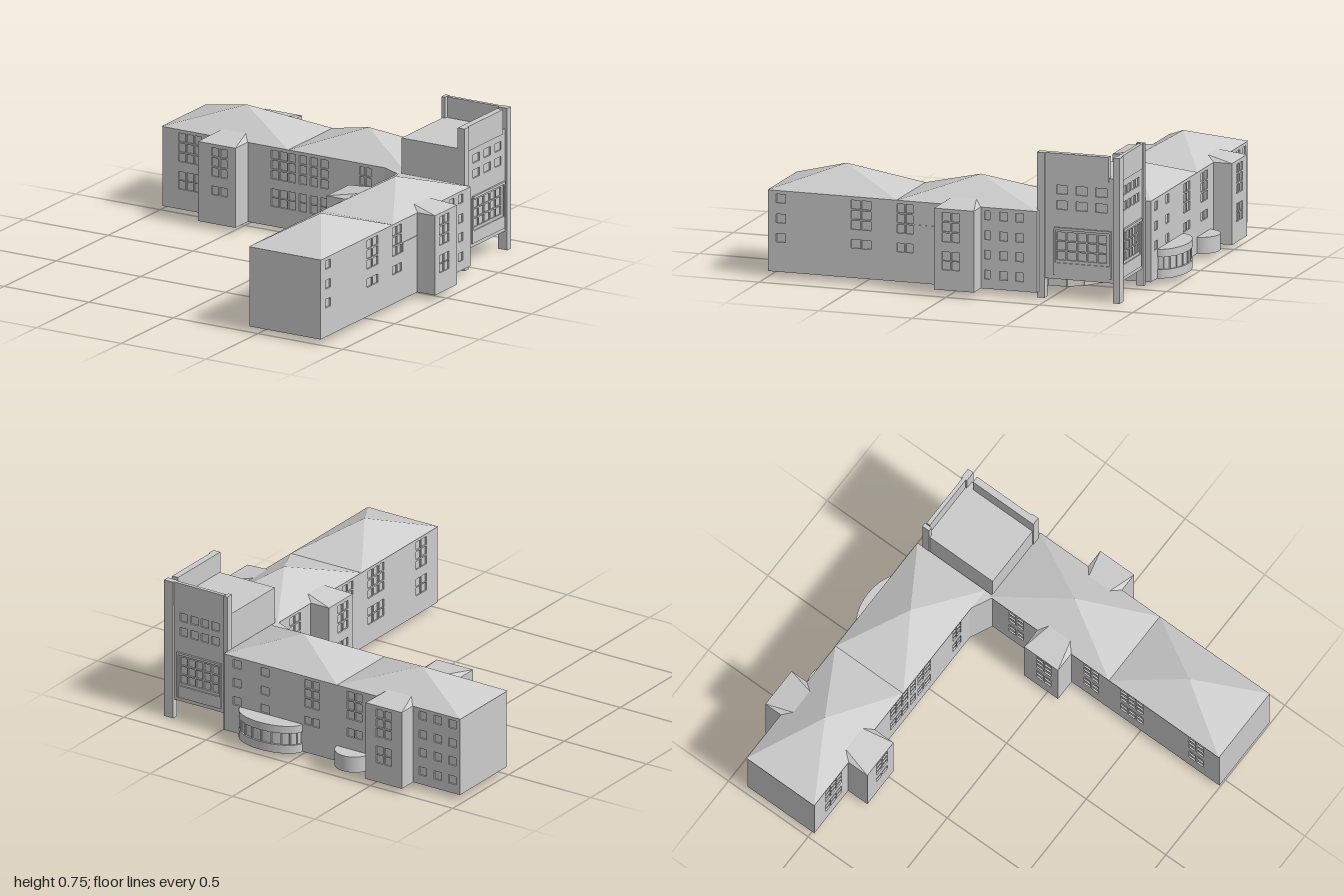
import * as THREE from 'three';
import { ConvexGeometry } from 'three/addons/geometries/ConvexGeometry.js';

const T = 0.008; // wall panel thickness, which is also the window recess
const FLOOR = 0.03, EAVES = 0.45;
const material = new THREE.MeshStandardMaterial({ color: 0xcccccc, flatShading: true });
const UP = [0.28, 0.333, 0.386], LOW = [0.135, 0.183], FOUR = [0.08, 0.183, 0.283, 0.386], THREE_ROWS = [0.183, 0.283, 0.386];

function mesh(parent, name, geometry) {
  const m = new THREE.Mesh(geometry, material);
  m.name = name;
  parent.add(m);
  return m;
}

function box(parent, name, x0, x1, y0, y1, z0, z1) {
  const m = mesh(parent, name, new THREE.BoxGeometry(x1 - x0, y1 - y0, z1 - z0));
  m.position.set((x0 + x1) / 2, (y0 + y1) / 2, (z0 + z1) / 2);
  return m;
}

// Grid of windows: column centres along the wall, row bottoms, pane size
function grid(columns, rows, w = 0.042, h = 0.045) {
  return columns.flatMap(c => rows.map(y => [c, y, w, h]));
}

function rect(target, x0, x1, y0, y1) {
  target.moveTo(x0, y0);
  target.lineTo(x1, y0);
  target.lineTo(x1, y1);
  target.lineTo(x0, y1);
  target.closePath();
  return target;
}

const SIDES = {
  front: { angle: 0, sign: 1 },
  back: { angle: Math.PI, sign: -1 },
  right: { angle: Math.PI / 2, sign: -1 },
  left: { angle: -Math.PI / 2, sign: 1 },
};

// Wall panel with window holes; a and b are world coordinates along the wall
function wall(parent, side, plane, a, b, y0, y1, windows = []) {
  const { angle, sign } = SIDES[side];
  const shape = rect(new THREE.Shape(), Math.min(a * sign, b * sign), Math.max(a * sign, b * sign), y0, y1);
  for (const [c, y, w, h] of windows) {
    shape.holes.push(rect(new THREE.Path(), c * sign - w / 2, c * sign + w / 2, y, y + h));
  }
  const geometry = new THREE.ExtrudeGeometry(shape, { depth: T, bevelEnabled: false }).translate(0, 0, -T);
  const m = mesh(parent, side + 'Wall', geometry);
  m.rotation.y = angle;
  m.position[side === 'front' || side === 'back' ? 'z' : 'x'] = plane;
}

// Solid block with a windowed panel on every side
function block(parent, name, x0, x1, z0, z1, windows = {}, y0 = FLOOR, y1 = EAVES) {
  const g = new THREE.Group();
  g.name = name;
  parent.add(g);
  box(g, 'core', x0 + T, x1 - T, y0, y1, z0 + T, z1 - T);
  wall(g, 'front', z1, x0, x1, y0, y1, windows.front);
  wall(g, 'back', z0, x0, x1, y0, y1, windows.back);
  wall(g, 'right', x1, z0, z1, y0, y1, windows.right);
  wall(g, 'left', x0, z0, z1, y0, y1, windows.left);
  return g;
}

function pyramidRoof(parent, x0, x1, z0, z1) {
  const geometry = new THREE.ConeGeometry(Math.SQRT1_2, 1, 4).rotateY(Math.PI / 4);
  const m = mesh(parent, 'hipRoof', geometry);
  m.scale.set(x1 - x0, 0.12, z1 - z0);
  m.position.set((x0 + x1) / 2, EAVES + 0.06, (z0 + z1) / 2);
}

// Shallow hip that runs back from a projecting bay into the main roof
function bayRoof(parent, x, z, side, depth, w) {
  const pts = [];
  for (const s of [-1, 1]) {
    pts.push(new THREE.Vector3(s * w / 2, EAVES, depth), new THREE.Vector3(s * w / 2, EAVES, 0),
      new THREE.Vector3(s * (w / 2 - 0.04), 0.477, -0.045));
  }
  const m = mesh(parent, 'bayRoof', new ConvexGeometry(pts));
  m.position.set(x, 0, z);
  m.rotation.y = SIDES[side].angle;
}

// Half-round drum standing against the back wall
function halfDrum(parent, name, x, rx, rz, y0, y1) {
  const geometry = new THREE.CylinderGeometry(1, 1, y1 - y0, 28, 1, false, Math.PI / 2, Math.PI);
  const m = mesh(parent, name, geometry);
  m.scale.set(rx, 1, rz);
  m.position.set(x, (y0 + y1) / 2, -0.895);
}

function prism(parent, name, points, y0, y1) {
  const shape = new THREE.Shape(points.map(([x, z]) => new THREE.Vector2(x, -z)));
  const geometry = new THREE.ExtrudeGeometry(shape, { depth: y1 - y0, bevelEnabled: false });
  geometry.rotateX(-Math.PI / 2).translate(0, y0, 0);
  return mesh(parent, name, geometry);
}

export function createModel() {
  const model = new THREE.Group();
  model.name = 'building';

  // Wing running along x
  block(model, 'rearWing', -0.975, 0.455, -0.9, -0.48, {
    front: [
      ...grid([-0.86, -0.812, -0.765], [...LOW, ...UP]),
      ...grid([-0.31, -0.26, -0.21, -0.145, -0.08, -0.02], [...LOW, ...UP], 0.044),
      ...grid([0.205, 0.242], [...LOW, ...UP], 0.03),
    ],
    back: [
      ...grid([-0.93, -0.84, -0.75], FOUR, 0.045),
      ...grid([-0.36, -0.31, -0.1, -0.05], [0.183, ...UP]),
      ...grid([0.21, 0.38], THREE_ROWS, 0.05),
    ],
  });
  pyramidRoof(model, -0.98, -0.23, -0.903, -0.477);
  pyramidRoof(model, -0.23, 0.46, -0.903, -0.477);

  // Wing running along z
  block(model, 'sideWing', 0.45, 0.87, -0.44, 1, {
    right: [
      ...grid([0.93], THREE_ROWS, 0.05),
      ...grid([0.53, 0.473], [0.183, ...UP], 0.05),
      ...grid([0.288, 0.242], [0.183, ...UP], 0.04),
      ...grid([-0.175], FOUR, 0.03),
      ...grid([-0.262, -0.347], FOUR, 0.043),
    ],
    left: [
      ...grid([0.17, 0.22, 0.4, 0.45, 0.5, 0.83, 0.88], [...LOW, ...UP]),
      ...grid([-0.3, -0.25], [...LOW, ...UP]),
    ],
  });
  pyramidRoof(model, 0.445, 0.873, -0.44, 0.31);
  pyramidRoof(model, 0.445, 0.873, 0.31, 1);
  box(model, 'wallBand', 0.865, 0.873, 0.28, 0.33, 0.08, 0.215);

  // Projecting bays on both faces of each wing
  const bayRows = [...LOW, ...UP];
  block(model, 'frontBay', -0.69, -0.47, -0.5, -0.36, { front: grid([-0.59, -0.54], [0.183, ...UP]) });
  block(model, 'backBay', -0.69, -0.47, -1, -0.88, { back: grid([-0.605, -0.555], bayRows) });
  block(model, 'rightBay', 0.85, 0.975, -0.14, 0.072, { right: grid([0.008, -0.042], bayRows) });
  block(model, 'innerBay', 0.335, 0.47, -0.14, 0.072, { left: grid([0.008, -0.042], bayRows) });
  bayRoof(model, -0.58, -0.48, 'front', 0.12, 0.22);
  bayRoof(model, -0.58, -0.9, 'back', 0.1, 0.22);
  bayRoof(model, 0.87, -0.034, 'right', 0.105, 0.212);
  bayRoof(model, 0.45, -0.034, 'left', 0.115, 0.212);

  // Rounded bays at the back
  halfDrum(model, 'largeRoundBayBase', 0.17, 0.19, 0.105, FLOOR, 0.075);
  halfDrum(model, 'largeRoundBayGlass', 0.17, 0.18, 0.095, 0.075, 0.14);
  halfDrum(model, 'largeRoundBayRoof', 0.17, 0.19, 0.105, 0.14, 0.18);
  for (let i = 1; i < 10; i++) {
    const a = Math.PI * i / 10, x = 0.17 + 0.183 * Math.cos(a), z = -0.895 - 0.098 * Math.sin(a);
    box(model, 'roundBayMullion', x - 0.003, x + 0.003, 0.07, 0.145, z - 0.003, z + 0.003);
  }
  halfDrum(model, 'smallRoundBay', -0.325, 0.098, 0.09, FLOOR, 0.115);

  // Angled infill in the inner corner
  prism(model, 'cornerInfill', [[0.335, -0.48], [0.46, -0.42], [0.46, -0.5], [0.335, -0.5]], FLOOR, EAVES);

  // Corner tower raised on piers
  const xc = [0.54, 0.588, 0.636, 0.684, 0.732], zc = [-0.555, -0.61, -0.665, -0.72, -0.775];
  const lower = [0.2, 0.25, 0.3];
  const tower = block(model, 'tower', 0.465, 0.83, -0.86, -0.435, {
    back: [...grid(xc, lower, 0.04, 0.043), ...grid([0.54, 0.604, 0.668, 0.732], [0.46, 0.54], 0.045, 0.045)],
    right: [...grid(zc, lower, 0.047, 0.043), ...grid([-0.56, -0.665, -0.77], [0.46, 0.54], 0.06, 0.045)],
  }, 0.1, 0.64);
  box(tower, 'backParapet', 0.485, 0.835, 0.62, 0.75, -0.865, -0.845);
  box(tower, 'rightParapet', 0.8, 0.835, 0.62, 0.75, -0.81, -0.44);
  box(tower, 'cornerPier', 0.787, 0.842, 0, 0.75, -0.872, -0.838);
  box(tower, 'sidePier', 0.8, 0.842, 0, 0.75, -0.47, -0.43);
  box(tower, 'backPier', 0.458, 0.48, 0.015, 0.75, -0.872, -0.83);

  // Ledges and sill panels around the tall glazing
  box(tower, 'backLedge', 0.5, 0.77, 0.355, 0.368, -0.87, -0.855);
  box(tower, 'rightLedge', 0.825, 0.84, 0.355, 0.368, -0.825, -0.52);
  box(tower, 'backSill', 0.5, 0.77, 0.12, 0.185, -0.866, -0.855);
  box(tower, 'rightSill', 0.825, 0.836, 0.12, 0.185, -0.815, -0.52);
  for (const x of [0.505, 0.765]) box(tower, 'backFrame', x - 0.005, x + 0.005, 0.12, 0.36, -0.867, -0.855);
  for (const z of [-0.52, -0.82]) box(tower, 'rightFrame', 0.825, 0.837, 0.12, 0.36, z - 0.005, z + 0.005);

  // Recessed entrance under the tower
  const entry = [[0.45, -0.68], [0.55, -0.67], [0.645, -0.61], [0.69, -0.53], [0.7, -0.43]];
  prism(model, 'entrance', [[0.45, -0.43], ...entry.slice().reverse()], FLOOR, 0.105);
  for (const [x, z] of entry.slice(1, 4)) {
    box(model, 'entrancePost', x - 0.006, x + 0.006, FLOOR, 0.105, z - 0.006, z + 0.006);
  }
  return model;
}
